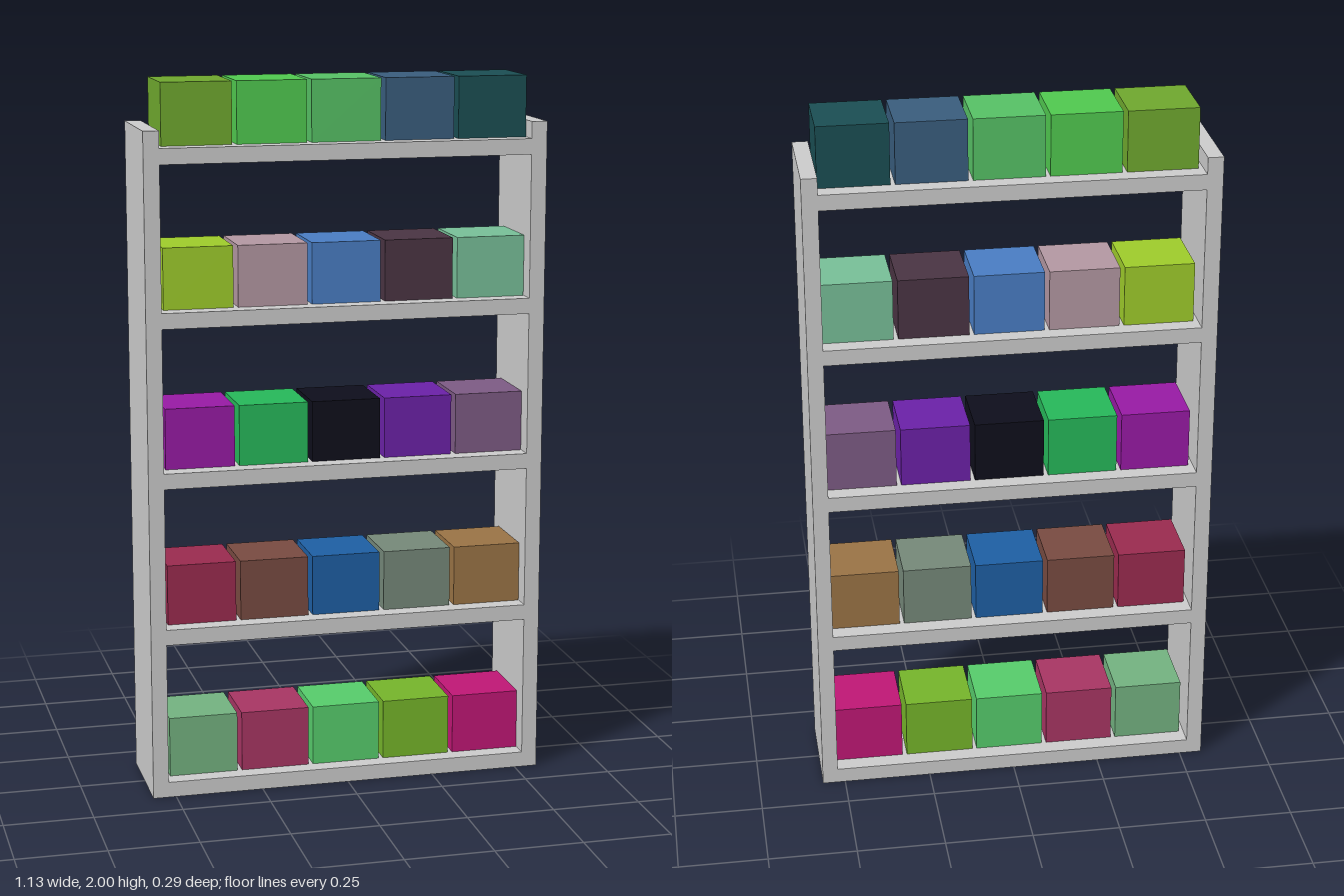
import * as THREE from 'three';

const WIDTH = 1.13, DEPTH = 0.294, HEIGHT = 1.875, BOARD = 0.044;
const SHELF_STEP = 0.446;
const BOX = { w: 0.195, h: 0.171, d: 0.194, pitch: 0.208, offset: 0.006 };

// Box colours, one row per shelf from the bottom up, right to left of the model
const ROWS = [
  [0x73b280, 0xa73563, 0x56cc6b, 0x75b42a, 0xbf1775],
  [0x9a2b4f, 0x784b41, 0x1e5fa3, 0x758879, 0x9a7345],
  [0x971aa4, 0x26b85a, 0x0e0e1b, 0x6b21a7, 0x7d5b84],
  [0x9ecc2b, 0xb397a2, 0x497dc3, 0x4a3443, 0x77bf98],
  [0x6fa82e, 0x50c94f, 0x56c165, 0x395d7d, 0x1a4e53],
];

export function createModel() {
  const model = new THREE.Group();
  model.name = 'shelfWithBoxes';
  const grey = new THREE.MeshStandardMaterial({ color: 0xcccccc });

  // Adds a cuboid standing on height y
  function addBox(parent, name, [w, h, d], x, y, material) {
    const mesh = new THREE.Mesh(new THREE.BoxGeometry(w, h, d), material);
    mesh.name = name;
    mesh.position.set(x, y + h / 2, 0);
    parent.add(mesh);
  }

  // Upright side panels
  for (const [name, side] of [['leftPanel', 1], ['rightPanel', -1]]) {
    addBox(model, name, [BOARD, HEIGHT, DEPTH], side * (WIDTH - BOARD) / 2, 0, grey);
  }

  // Shelves, each with its row of coloured boxes
  ROWS.forEach((colors, row) => {
    const y = row * SHELF_STEP;
    addBox(model, `shelf${row + 1}`, [WIDTH - 2 * BOARD, BOARD, DEPTH], 0, y, grey);

    const boxes = new THREE.Group();
    boxes.name = `boxRow${row + 1}`;
    colors.forEach((color, i) => {
      const x = BOX.offset + (i - 2) * BOX.pitch;
      addBox(boxes, `box${i + 1}`, [BOX.w, BOX.h, BOX.d], x, y + BOARD,
        new THREE.MeshStandardMaterial({ color }));
    });
    model.add(boxes);
  });

  return model;
}
